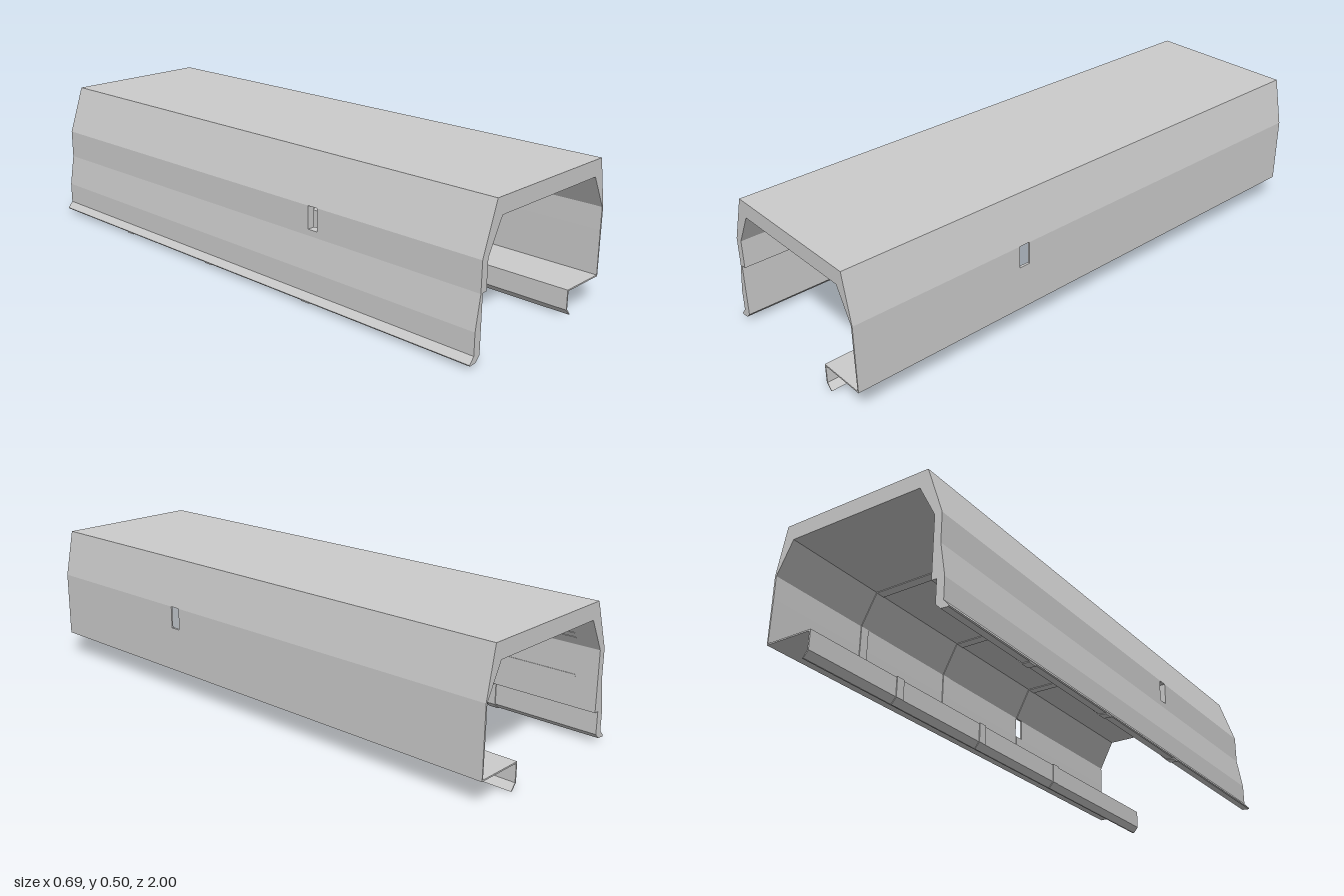
import * as THREE from 'three';

const material = new THREE.MeshStandardMaterial({ color: 0xcccccc, flatShading: true, side: THREE.DoubleSide });
const WINDOW = { z0: 0.32, z1: 0.36, y0: 0.25, y1: 0.33 };

// Outside of the shell, from the hook tip over the roof to the lip.
const outer = [
  [0.19, 0.004], [0.171, 0.027], [0.171, 0.09], [0.345, 0.09], [0.345, 0.25], [0.345, 0.33],
  [0.31, 0.5], [-0.25, 0.5], [-0.309, 0.33], [-0.309, 0.25], [-0.309, 0.228],
  [-0.328, 0.115], [-0.328, 0.04], [-0.347, 0.018],
];
// Inside of the shell, from the lip over the ceiling to the hook tip.
const lip = [[-0.345, 0.014], [-0.318, 0.016], [-0.3, 0.034]];
const step = [[-0.3, 0.228], [-0.282, 0.228]];
const lowStep = [[-0.3, 0.115], [-0.282, 0.115]];
const ceiling = [[-0.282, 0.25], [-0.282, 0.33], [-0.222, 0.443], [0.28, 0.443], [0.339, 0.33], [0.339, 0.25]];
const shelf = [[0.341, 0.095], [0.166, 0.095], [0.166, 0.026], [0.185, 0.004]];

const vec = (p) => new THREE.Vector2(p[0], p[1]);

function addMesh(group, name, geometry) {
  const mesh = new THREE.Mesh(geometry, material);
  mesh.name = name;
  group.add(mesh);
  return mesh;
}

function addBox(group, name, x0, x1, y0, y1, z0, z1) {
  const mesh = addMesh(group, name, new THREE.BoxGeometry(x1 - x0, y1 - y0, z1 - z0));
  mesh.position.set((x0 + x1) / 2, (y0 + y1) / 2, (z0 + z1) / 2);
  return mesh;
}

// Long faces of the shell, leaving the window openings and lining them.
function shellSides(outline) {
  const pos = [];
  const quad = (a, b, c, d) => pos.push(...a, ...b, ...c, ...a, ...c, ...d);
  const strip = (a, b, z0, z1) => quad([...a, z1], [...a, z0], [...b, z0], [...b, z1]);
  outline.forEach((a, i) => {
    const b = outline[(i + 1) % outline.length];
    const inWindow = [a, b].every((p) => p[1] === WINDOW.y0 || p[1] === WINDOW.y1);
    if (inWindow) {
      strip(a, b, -1, WINDOW.z0);
      strip(a, b, WINDOW.z1, 1);
    } else strip(a, b, -1, 1);
  });
  for (const [x0, x1] of [[-0.309, -0.282], [0.339, 0.345]]) {
    const { z0, z1, y0, y1 } = WINDOW;
    quad([x0, y0, z0], [x0, y0, z1], [x1, y0, z1], [x1, y0, z0]);
    quad([x0, y1, z0], [x1, y1, z0], [x1, y1, z1], [x0, y1, z1]);
    quad([x0, y0, z0], [x1, y0, z0], [x1, y1, z0], [x0, y1, z0]);
    quad([x0, y0, z1], [x0, y1, z1], [x1, y1, z1], [x1, y0, z1]);
  }
  const geometry = new THREE.BufferGeometry();
  geometry.setAttribute('position', new THREE.Float32BufferAttribute(pos, 3));
  geometry.computeVertexNormals();
  return geometry;
}

// Thin band that follows an inside path, raised by t.
function bandGeometry(path, t, width) {
  const pts = path.map(vec);
  const raised = pts.map((p, i) => {
    const a = pts[Math.max(i - 1, 0)], b = pts[Math.min(i + 1, pts.length - 1)];
    const d1 = (i > 0 ? p.clone().sub(a) : b.clone().sub(p)).normalize();
    const d2 = (i < pts.length - 1 ? b.clone().sub(p) : p.clone().sub(a)).normalize();
    const n = new THREE.Vector2(d1.y + d2.y, -d1.x - d2.x).normalize();
    return p.clone().addScaledVector(n, t / Math.max(0.5, n.dot(new THREE.Vector2(d1.y, -d1.x))));
  });
  const shape = new THREE.Shape([...pts, ...raised.reverse()]);
  return new THREE.ExtrudeGeometry(shape, { depth: width, bevelEnabled: false });
}

export function createModel() {
  const group = new THREE.Group();
  group.name = 'cover';

  // Shell and its two end faces
  const outline = [...outer, ...lip, ...step, ...ceiling, ...shelf];
  addMesh(group, 'shell', shellSides(outline));
  for (const z of [-1, 1]) {
    const cap = addMesh(group, z > 0 ? 'frontEdge' : 'backEdge', new THREE.ShapeGeometry(new THREE.Shape(outline.map(vec))));
    cap.position.z = z;
  }

  // Thicker lower wall along the rear
  addBox(group, 'innerRail', -0.3, -0.282, 0.115, 0.228, -1, 0.12);

  // Ribs where the panels join; the front one is broken by the windows
  const addRib = (path, z) => {
    const rib = addMesh(group, 'rib', bandGeometry(path, 0.003, 0.035));
    rib.position.z = z - 0.0175;
  };
  for (const z of [-0.59, -0.14]) addRib([...lip, ...lowStep, ...ceiling, ...shelf], z);
  addRib([...lip, ...step, ceiling[0]], 0.34);
  addRib(ceiling.slice(1, 5), 0.34);
  addRib([ceiling[5], ...shelf], 0.34);

  // Fine ridges on the inside of the right wall, bay by bay
  for (const [z0, z1] of [[-0.92, -0.65], [-0.46, -0.2], [-0.1, 0.11], [0.42, 0.92]]) {
    for (const f of [0.25, 0.4, 0.55, 0.7]) {
      const x = -0.282 + 0.06 * f, y = 0.33 + 0.113 * f;
      addBox(group, 'slopeRidge', x - 0.002, x + 0.002, y - 0.002, y + 0.002, z0, z1).rotation.z = -0.49;
    }
    if (z0 < 0.2) addBox(group, 'wallRidge', -0.283, -0.28, 0.222, 0.228, z0, z1);
  }
  return group;
}
